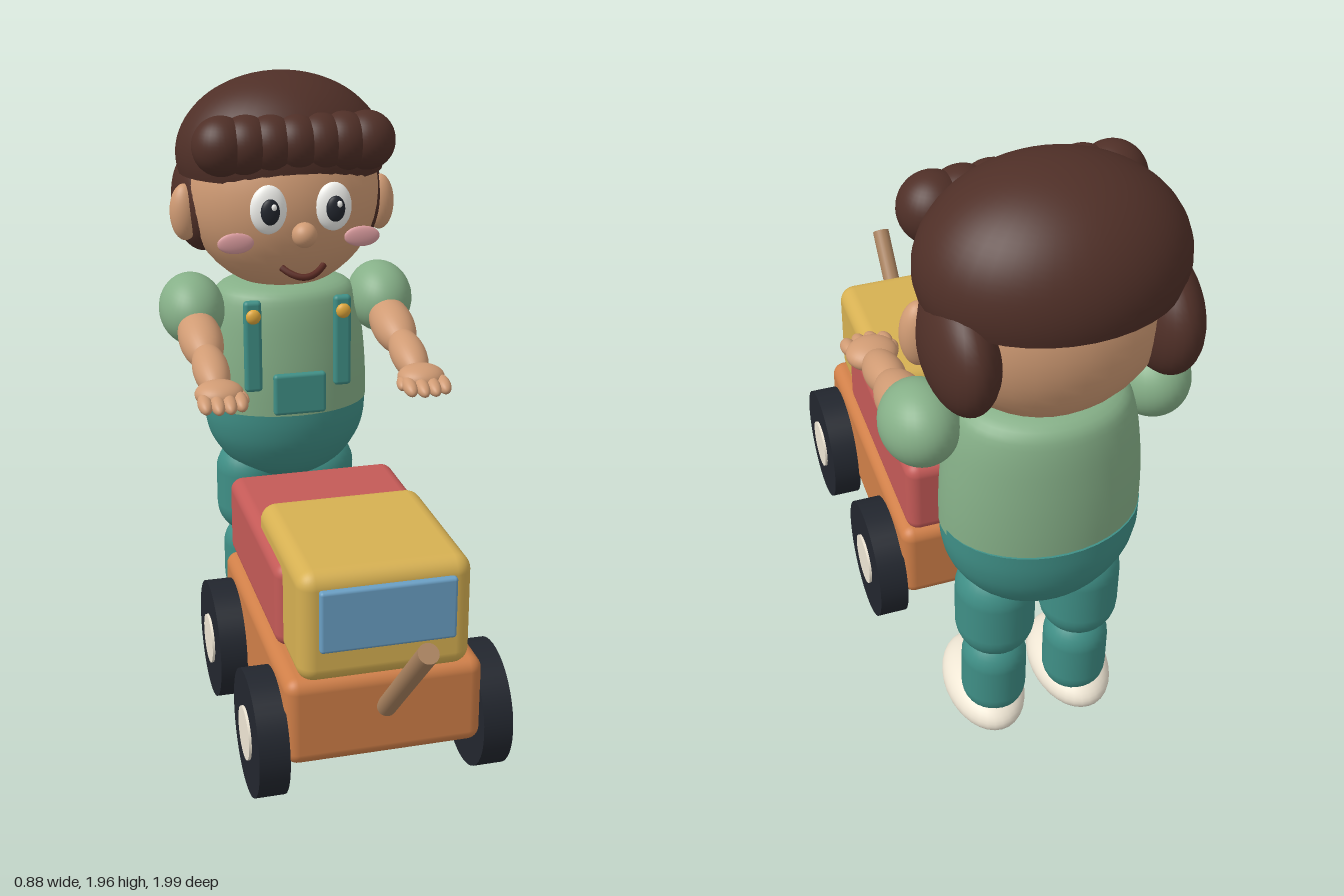
import * as THREE from 'three';
import { RoundedBoxGeometry } from 'three/addons/geometries/RoundedBoxGeometry.js';

const mat = (color) => new THREE.MeshStandardMaterial({ color });
const M = {
  skin: mat(0xd09b74), hair: mat(0x4f2f27), shirt: mat(0x86b088), teal: mat(0x3f8f86),
  cream: mat(0xefe6d4), white: mat(0xf2f2ee), black: mat(0x22262e), orange: mat(0xd07f48),
  red: mat(0xc45a57), yellow: mat(0xd6b052), blue: mat(0x6a9fc4), wood: mat(0xa9825f),
  blush: mat(0xdb9c9f), mouth: mat(0x5a2a22), gold: mat(0xe0a83c),
};
const V = (x, y, z) => new THREE.Vector3(x, y, z);
const UP = V(0, 1, 0);

function add(parent, name, geometry, material, x = 0, y = 0, z = 0) {
  const mesh = new THREE.Mesh(geometry, material);
  mesh.name = name;
  mesh.position.set(x, y, z);
  parent.add(mesh);
  return mesh;
}

// Ellipsoid from centre and three radii
function ball(parent, name, material, [x, y, z], [rx, ry, rz]) {
  const mesh = add(parent, name, new THREE.SphereGeometry(1, 32, 24), material, x, y, z);
  mesh.scale.set(rx, ry, rz);
  return mesh;
}

// Ellipsoid stretched between two tips
function limb(parent, name, material, a, b, r) {
  const mid = a.clone().add(b).multiplyScalar(0.5);
  const mesh = ball(parent, name, material, mid.toArray(), [r, a.distanceTo(b) / 2, r]);
  mesh.quaternion.setFromUnitVectors(UP, b.clone().sub(a).normalize());
  return mesh;
}

// Rounded box from its min and max corners
function box(parent, name, material, [x0, y0, z0], [x1, y1, z1], r) {
  const g = new RoundedBoxGeometry(x1 - x0, y1 - y0, z1 - z0, 4, r);
  return add(parent, name, g, material, (x0 + x1) / 2, (y0 + y1) / 2, (z0 + z1) / 2);
}

// Lathe with an oval cross-section
function ovalLathe(parent, name, material, points, sx, sz, z) {
  const g = new THREE.LatheGeometry(points.map(([r, y]) => new THREE.Vector2(r, y)), 40);
  g.scale(sx, 1, sz);
  return add(parent, name, g, material, 0, 0, z);
}

function smooth(points, n = 24) {
  const curve = new THREE.SplineCurve(points.map(([x, y]) => new THREE.Vector2(x, y)));
  return curve.getPoints(n).map((p) => [Math.max(0, p.x), p.y]);
}

function buildCart() {
  const cart = new THREE.Group();
  cart.name = 'cart';
  box(cart, 'chassis', M.orange, [-0.295, 0.18, -0.31], [0.295, 0.455, 0.61], 0.04);
  box(cart, 'cargoBox', M.red, [-0.275, 0.455, -0.31], [0.275, 0.72, 0.41], 0.04);
  box(cart, 'cab', M.yellow, [-0.255, 0.44, 0.06], [0.255, 0.785, 0.61], 0.05);
  box(cart, 'windscreen', M.blue, [-0.2, 0.55, 0.605], [0.2, 0.74, 0.632], 0.01);

  // Wheels with domed hubs
  for (const s of [-1, 1]) for (const z of [-0.14, 0.45]) {
    const tyre = add(cart, 'tyre', new THREE.CylinderGeometry(0.19, 0.19, 0.09, 40), M.black, s * 0.335, 0.22, z);
    tyre.rotation.z = Math.PI / 2;
    const hub = add(cart, 'hub', new THREE.CylinderGeometry(0.08, 0.08, 0.02, 32), M.cream, s * 0.378, 0.22, z);
    hub.rotation.z = Math.PI / 2;
  }

  // Sloping pull handle
  const a = V(0, 0.345, 0.61), b = V(0, 0.715, 0.975);
  const handle = add(cart, 'pullHandle', new THREE.CylinderGeometry(0.029, 0.029, a.distanceTo(b), 24), M.wood,
    0, (a.y + b.y) / 2, (a.z + b.z) / 2);
  handle.quaternion.setFromUnitVectors(UP, b.sub(a).normalize());
  return cart;
}

function buildHead() {
  const head = new THREE.Group();
  head.name = 'head';
  ball(head, 'face', M.skin, [0, 1.575, -0.68], [0.325, 0.325, 0.28]);
  ball(head, 'nose', M.skin, [0, 1.497, -0.365], [0.041, 0.041, 0.041]);

  // Hair cap: dome closed underneath
  const cap = [];
  for (let i = 0; i <= 24; i++) {
    const t = Math.PI * (1 - 0.57) + (i / 24) * Math.PI * 0.57;
    cap.push([Math.max(0, Math.sin(t)), 1.705 - 0.265 * Math.cos(t)]);
  }
  ovalLathe(head, 'hairCap', M.hair, cap, 0.352, 0.29, -0.705);
  ovalLathe(head, 'hairCapUnderside', M.hair, [[0, cap[0][1]], cap[0]], 0.352, 0.29, -0.705);

  // Row of fringe curls
  for (let i = -3; i <= 3; i++) {
    ball(head, 'fringeCurl', M.hair, [i * 0.08, 1.768, -0.485 - Math.abs(i) * 0.003], [0.094, 0.096, 0.094]);
  }

  for (const s of [-1, 1]) {
    ball(head, 'sideHair', M.hair, [s * 0.265, 1.545, -0.772], [0.095, 0.172, 0.19]);
    ball(head, 'ear', M.skin, [s * 0.335, 1.525, -0.67], [0.05, 0.095, 0.047]);
    ball(head, 'eye', M.white, [s * 0.107, 1.575, -0.41], [0.06, 0.079, 0.03]);
    ball(head, 'pupil', M.black, [s * 0.107, 1.573, -0.381], [0.031, 0.042, 0.016]);
    ball(head, 'eyeGlint', M.white, [s * 0.107 + 0.01, 1.59, -0.368], [0.009, 0.011, 0.006]);
    ball(head, 'cheek', M.blush, [s * 0.21, 1.465, -0.437], [0.06, 0.034, 0.012]);
  }

  // Smiling mouth
  const smile = new THREE.QuadraticBezierCurve3(V(-0.07, 1.388, -0.395), V(0, 1.33, -0.33), V(0.07, 1.388, -0.395));
  add(head, 'mouth', new THREE.TubeGeometry(smile, 20, 0.011, 10), M.mouth);
  return head;
}

function buildBody() {
  const body = new THREE.Group();
  body.name = 'body';
  ovalLathe(body, 'shirt', M.shirt,
    smooth([[0.222, 0.85], [0.221, 0.95], [0.214, 1.07], [0.198, 1.2], [0.17, 1.265], [0.09, 1.29], [0, 1.295]]), 1.29, 1, -0.68);
  ovalLathe(body, 'trousers', M.teal,
    smooth([[0, 0.565], [0.08, 0.575], [0.15, 0.625], [0.2, 0.71], [0.22, 0.79], [0.223, 0.87]]), 1.28, 1, -0.685);
  ovalLathe(body, 'waistband', M.teal, [[0.223, 0.87], [0.2, 0.872]], 1.28, 1, -0.685);
  box(body, 'bibPocket', M.teal, [-0.09, 0.862, -0.465], [0.09, 1.006, -0.437], 0.012);

  for (const s of [-1, 1]) {
    const x = s * 0.153;
    box(body, 'strap', M.teal, [x - 0.03, 0.945, -0.492], [x + 0.03, 1.26, -0.46], 0.014);
    ball(body, 'button', M.gold, [x, 1.21, -0.456], [0.025, 0.025, 0.016]);

    // Leg and shoe
    const lx = s * 0.13;
    const thigh = add(body, 'thigh', new THREE.CapsuleGeometry(0.117, 0.13, 10, 28), M.teal, lx, 0.52, -0.695);
    thigh.scale.y = 0.98;
    add(body, 'shin', new THREE.CapsuleGeometry(0.097, 0.12, 10, 28), M.teal, lx, 0.235, -0.695);
    ball(body, 'shoe', M.cream, [s * 0.14, 0.09, -0.628], [0.119, 0.08, 0.19]);

    // Arm reaching forward
    const ax = s * 0.328;
    const sleeve = ball(body, 'sleeve', M.shirt, [ax, 1.203, -0.633], [0.11, 0.118, 0.137]);
    sleeve.rotation.x = 0.3;
    limb(body, 'upperArm', M.skin, V(ax, 1.185, -0.62), V(ax, 1.105, -0.32), 0.072);
    limb(body, 'forearm', M.skin, V(ax, 1.135, -0.41), V(ax, 1.06, -0.16), 0.058);
    ball(body, 'palm', M.skin, [ax, 1.066, -0.145], [0.077, 0.042, 0.07]);
    for (let i = 0; i < 4; i++) {
      const fx = ax + (i - 1.5) * 0.037;
      limb(body, 'finger', M.skin, V(fx, 1.068, -0.13), V(fx, 1.043, -0.025 - (i === 0 || i === 3 ? 0.015 : 0)), 0.023);
    }
    limb(body, 'thumb', M.skin, V(ax - s * 0.045, 1.062, -0.18), V(ax - s * 0.078, 1.05, -0.09), 0.022);
  }
  return body;
}

export function createModel() {
  const model = new THREE.Group();
  model.name = 'childWithPullCart';
  model.add(buildCart(), buildHead(), buildBody());
  return model;
}
